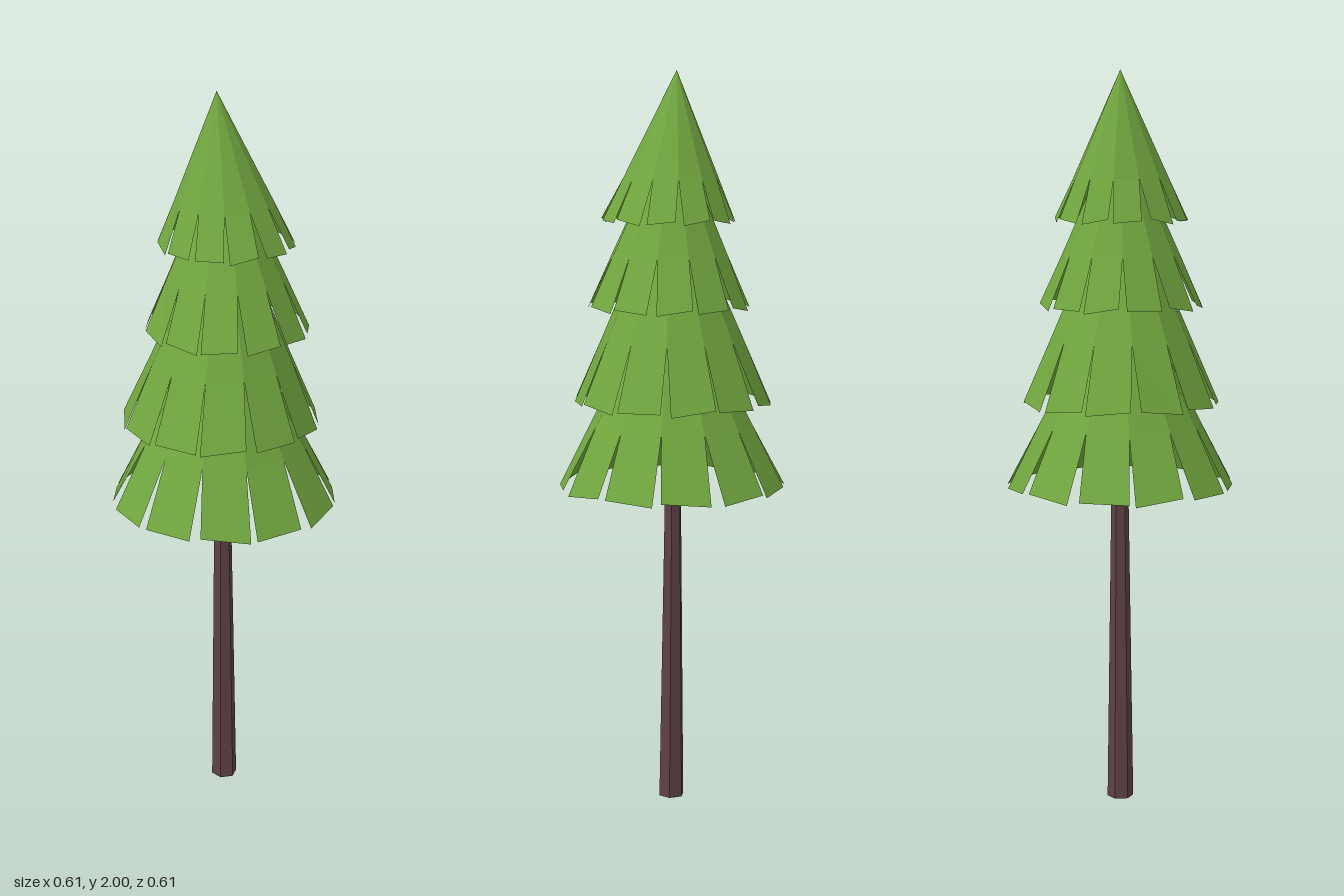
import * as THREE from 'three';

const leafGreen = new THREE.MeshStandardMaterial({ color: 0x71a63f, flatShading: true, side: THREE.DoubleSide });
leafGreen.name = 'leafGreen';
const barkBrown = new THREE.MeshStandardMaterial({ color: 0x5e4147, flatShading: true });
barkBrown.name = 'barkBrown';

const FLAPS = 12;
const NOTCH = 0.72; // where the cone splits into separate flaps

// One tier: an open cone whose lower rim is cut into twelve slightly uneven flaps.
function makeTier({ name, apex, base, radius, phase, halfWidth }) {
  const top = new THREE.Vector3(...apex);
  const centre = new THREE.Vector3(...base);
  const step = 360 / FLAPS;

  // point on the cone: t = 0 at the tip, 1 at the rim, angle from +z towards +x
  const onCone = (degrees, t, lift = 0) => {
    const a = THREE.MathUtils.degToRad(degrees);
    const p = new THREE.Vector3(Math.sin(a) * radius, lift, Math.cos(a) * radius).add(centre);
    return top.clone().lerp(p, t);
  };

  const points = [];
  for (let i = 0; i < FLAPS; i++) {
    const mid = phase + i * step;
    const sway = 1.2 * Math.sin(i * 2.3 + phase);
    const lift = 0.008 * Math.sin(i * 1.7 + phase);
    const n0 = onCone(mid - step / 2, NOTCH);
    const n1 = onCone(mid + step / 2, NOTCH);
    const c0 = onCone(mid + sway - halfWidth, 1, lift);
    const c1 = onCone(mid + sway + halfWidth, 1, -lift);
    points.push(top, n0, n1, n0, c0, c1, n0, c1, n1);
  }
  const geometry = new THREE.BufferGeometry().setFromPoints(points);
  geometry.computeVertexNormals();
  const mesh = new THREE.Mesh(geometry, leafGreen);
  mesh.name = name;
  return mesh;
}

export function createModel() {
  const tree = new THREE.Group();
  tree.name = 'pineTree';

  // tapering six-sided trunk with a slight lean
  const height = 1.25;
  const trunkGeometry = new THREE.CylinderGeometry(0.018, 0.036, height, 6);
  trunkGeometry.rotateY(0.35);
  trunkGeometry.translate(0, height / 2, 0);
  const pos = trunkGeometry.attributes.position;
  for (let i = 0; i < pos.count; i++) pos.setX(i, pos.getX(i) - 0.006 * pos.getY(i));
  trunkGeometry.computeVertexNormals();
  const trunk = new THREE.Mesh(trunkGeometry, barkBrown);
  trunk.name = 'trunk';
  tree.add(trunk);

  // foliage, from the tip down
  const tiers = [
    { name: 'topTier', apex: [-0.02, 2, 0.005], base: [0.008, 1.605, 0], radius: 0.18, phase: 22, halfWidth: 12 },
    { name: 'upperTier', apex: [-0.005, 1.87, 0], base: [0.01, 1.375, 0], radius: 0.22, phase: 2, halfWidth: 12.5 },
    { name: 'middleTier', apex: [0, 1.73, 0], base: [-0.008, 1.115, 0.005], radius: 0.267, phase: 9, halfWidth: 13 },
    { name: 'bottomTier', apex: [0, 1.49, 0], base: [0, 0.885, 0], radius: 0.308, phase: 6.5, halfWidth: 12.4 },
  ];
  tiers.forEach((tier) => tree.add(makeTier(tier)));

  return tree;
}
